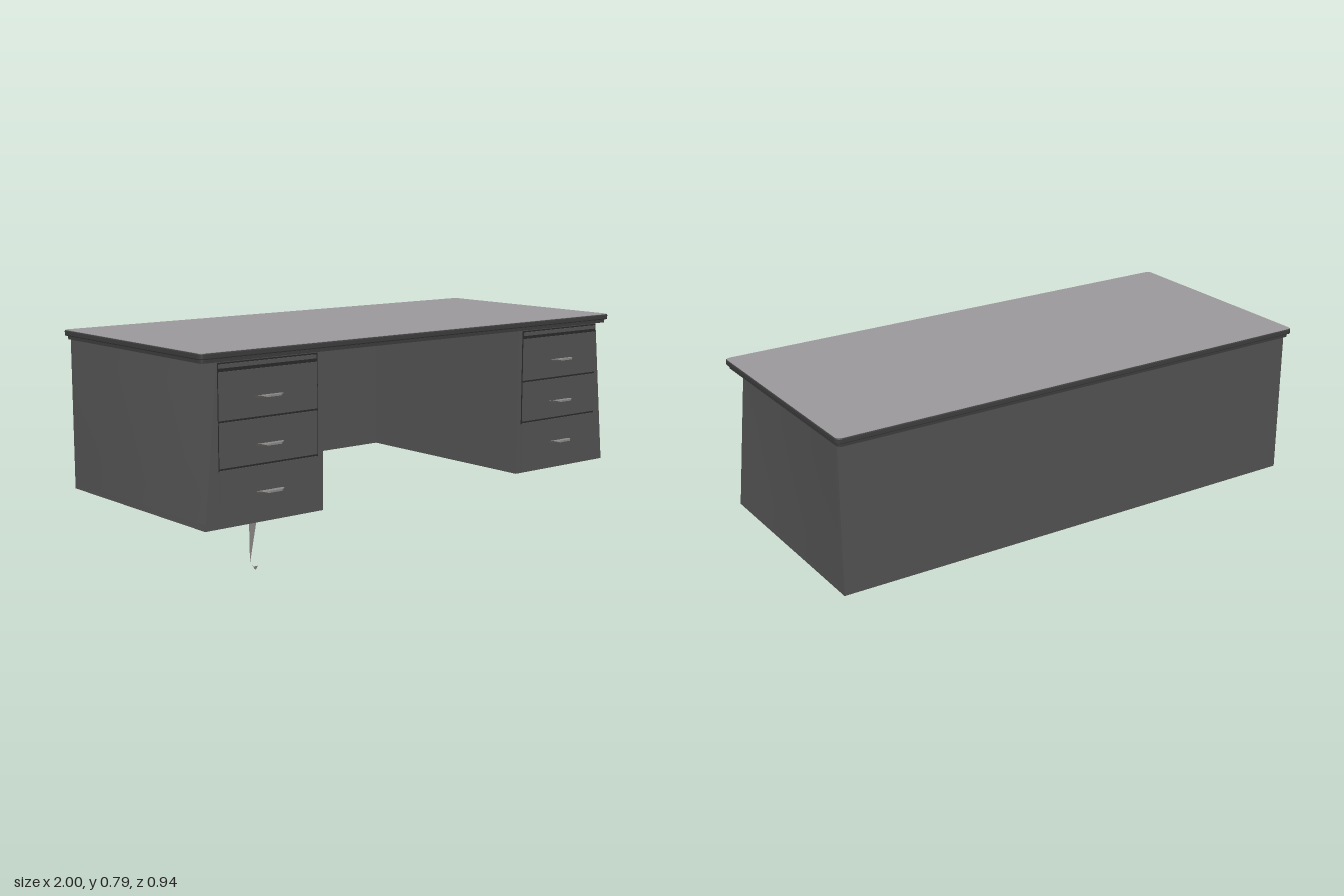
import * as THREE from 'three';
import { ConvexGeometry } from 'three/addons/geometries/ConvexGeometry.js';

const mat = (name, color, side = THREE.FrontSide) => {
  const m = new THREE.MeshStandardMaterial({ color, side });
  m.name = name;
  return m;
};

export function createModel() {
  const body = mat('charcoal body', 0x545454);
  const topGrey = mat('grey desktop', 0x9b999c);
  const edge = mat('dark edge', 0x3e3e3e);
  const gap = mat('shadow gap', 0x2a2a2a);
  const metal = mat('brushed metal', 0x8e8c8a, THREE.DoubleSide);

  const root = new THREE.Group();
  root.name = 'desk';
  const add = (parent, name, geo, material) => {
    const m = new THREE.Mesh(geo, material);
    m.name = name;
    parent.add(m);
    return m;
  };
  // box given by its limits
  const span = (x0, x1, y0, y1, z0, z1, seg = 1) =>
    new THREE.BoxGeometry(x1 - x0, y1 - y0, z1 - z0, 1, seg, seg)
      .translate((x0 + x1) / 2, (y0 + y1) / 2, (z0 + z1) / 2);

  // outer wall leans inward towards the top front corner
  const outer = 0.985, low = 0.19, high = 0.757, back = -0.44, front = 0.43;
  const lean = (geo, sign) => {
    const p = geo.attributes.position;
    for (let i = 0; i < p.count; i++) {
      if (Math.abs(p.getX(i)) < outer - 0.001) continue;
      const k = ((p.getY(i) - low) / (high - low)) * ((p.getZ(i) - back) / (front - back));
      p.setX(i, p.getX(i) - sign * 0.055 * k);
    }
    geo.computeVertexNormals();
    return geo;
  };

  // desktop: bevelled dark edge band with a grey surface
  const slab = (x, z0, z1, r) => {
    const s = new THREE.Shape();
    s.moveTo(-x + r, -z1).lineTo(x - r, -z1).quadraticCurveTo(x, -z1, x, -z1 + r);
    s.lineTo(x, -z0 - r).quadraticCurveTo(x, -z0, x - r, -z0);
    s.lineTo(-x + r, -z0).quadraticCurveTo(-x, -z0, -x, -z0 - r);
    s.lineTo(-x, -z1 + r).quadraticCurveTo(-x, -z1, -x + r, -z1);
    return s;
  };
  const layer = (shape, y, depth, bevel) => new THREE.ExtrudeGeometry(shape, {
    depth: depth - 2 * bevel, bevelEnabled: bevel > 0, bevelSize: bevel,
    bevelThickness: bevel, bevelOffset: -bevel, bevelSegments: 2, curveSegments: 4,
  }).rotateX(-Math.PI / 2).translate(0, y + bevel, 0);
  const desktop = new THREE.Group();
  desktop.name = 'desktop';
  root.add(desktop);
  add(desktop, 'desktopUnderlayer', layer(slab(0.99, -0.46, 0.43, 0.015), 0.755, 0.016, 0), edge);
  add(desktop, 'desktopEdge', layer(slab(1, -0.47, 0.44, 0.02), 0.768, 0.021, 0.004), edge);
  add(desktop, 'desktopSurface', layer(slab(0.997, -0.467, 0.437, 0.018), 0.786, 0.004, 0), topGrey);

  // full width back panel
  add(root, 'backPanel', span(-outer, outer, low, high, back, -0.42), body);

  // pull handle: thin pointed wedge
  const handleGeo = () => {
    const pts = [[-0.06, 0.003, 0], [0.06, 0.003, 0], [-0.05, -0.005, 0], [0.05, -0.005, 0],
      [-0.045, 0.004, 0.018], [0.05, 0.004, 0.02], [-0.025, 0.006, 0.034], [0.03, 0.006, 0.034],
      [-0.025, -0.001, 0.034], [0.03, -0.001, 0.034]];
    return new ConvexGeometry(pts.map(p => new THREE.Vector3(...p)));
  };

  for (const s of [-1, 1]) {
    const ped = new THREE.Group();
    ped.name = s > 0 ? 'leftPedestal' : 'rightPedestal';
    root.add(ped);
    const box = (x0, x1, y0, y1, z0, z1, seg) =>
      span(Math.min(s * x0, s * x1), Math.max(s * x0, s * x1), y0, y1, z0, z1, seg);

    // carcass, with a rim around the recessed underside
    add(ped, 'carcass', lean(box(0.485, outer, 0.21, high, -0.42, front, 6), s), body);
    add(ped, 'outerRim', lean(box(0.96, outer, low, 0.21, -0.42, front), s), body);
    add(ped, 'innerRim', box(0.485, 0.51, low, 0.21, -0.42, front), body);
    add(ped, 'frontRim', box(0.51, 0.96, low, 0.21, 0.41, front), body);

    // drawers over a dark reveal
    add(ped, 'drawerReveal', box(0.507, 0.928, 0.386, 0.753, 0.425, 0.431), gap);
    add(ped, 'writingSlide', box(0.515, 0.924, 0.734, 0.748, 0.425, 0.435), body);
    [[0.2, 0.389], [0.396, 0.551], [0.558, 0.722]].forEach(([y0, y1], i) => {
      add(ped, 'drawerFront' + (i + 1), box(0.512, 0.925, y0, y1, 0.425, 0.4345), body);
      add(ped, 'handle' + (i + 1), handleGeo(), metal)
        .position.set(s * 0.722, [0.297, 0.461, 0.627][i], 0.434);
    });

    // mounting plates under the pedestal
    for (const z of [0.345, -0.352])
      add(ped, 'footPlate', box(0.68, 0.775, 0.183, 0.212, z - 0.045, z + 0.045), metal);
  }

  // single slender blade leg with its small toe
  const tri = (name, pts) => {
    const g = new THREE.BufferGeometry();
    g.setAttribute('position', new THREE.Float32BufferAttribute(pts.flat(), 3));
    g.computeVertexNormals();
    add(root, name, g, metal);
  };
  tri('legBlade', [[-0.728, 0.185, 0.367], [-0.728, 0.185, 0.32], [-0.73, 0.015, 0.326]]);
  tri('legToe', [[-0.745, 0.015, 0.365], [-0.728, 0.015, 0.326], [-0.732, 0, 0.362],
    [-0.745, 0.015, 0.365], [-0.732, 0, 0.362], [-0.722, 0.014, 0.362]]);

  return root;
}
